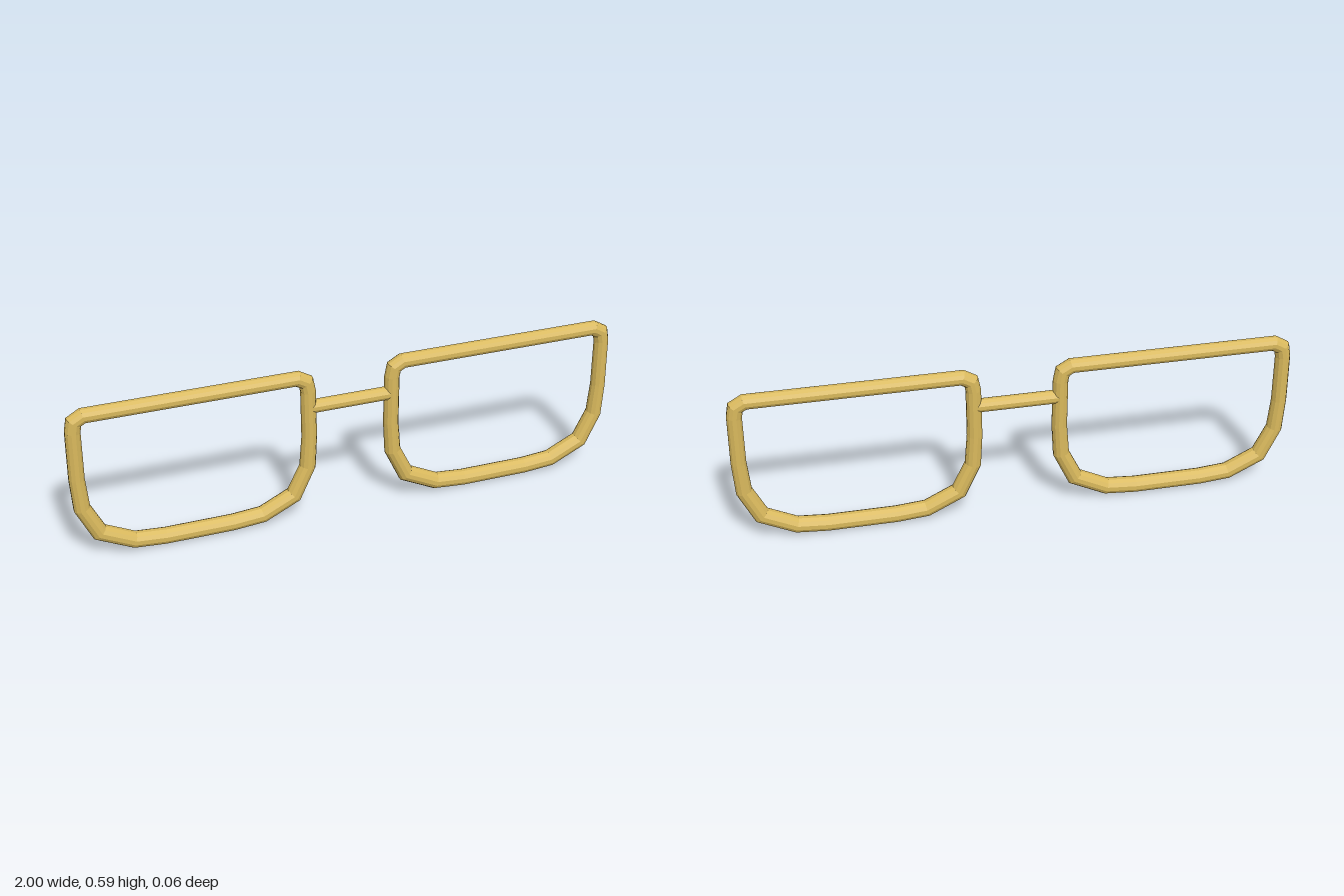
import * as THREE from 'three';

const SIDES = 12;

// Closed tube swept round a clockwise loop of [x, y, radius], mitred at each corner
function loopTube(points) {
  const pos = [], index = [], n = points.length;
  const v = points.map(p => new THREE.Vector2(p[0], p[1]));
  for (let i = 0; i < n; i++) {
    const before = v[i].clone().sub(v[(i + n - 1) % n]).normalize();
    const after = v[(i + 1) % n].clone().sub(v[i]).normalize();
    const t = before.clone().add(after).normalize();
    const r = points[i][2], mitre = r / t.dot(after);
    for (let j = 0; j < SIDES; j++) {
      const a = (j + 0.5) / SIDES * Math.PI * 2;
      const out = Math.cos(a) * mitre;
      pos.push(v[i].x - t.y * out, v[i].y + t.x * out, Math.sin(a) * r);
      const k = (j + 1) % SIDES, next = ((i + 1) % n) * SIDES;
      const A = i * SIDES + j, B = i * SIDES + k, C = next + j, D = next + k;
      index.push(A, B, C, B, D, C);
    }
  }
  const g = new THREE.BufferGeometry();
  g.setAttribute('position', new THREE.Float32BufferAttribute(pos, 3));
  g.setIndex(index);
  g.computeVertexNormals();
  return g;
}

export function createModel() {
  const group = new THREE.Group();
  const gold = new THREE.MeshStandardMaterial({ color: 0xd8b85c, flatShading: true });
  gold.name = 'gold';

  // Half of a rim, from the top corner down to the bottom: x offset, y, tube radius
  const half = [
    [0.37, 0.561, 0.027], [0.401, 0.543, 0.027], [0.408, 0.507, 0.027],
    [0.41, 0.325, 0.0275], [0.402, 0.207, 0.029], [0.35, 0.098, 0.03],
    [0.232, 0.04, 0.03], [0.122, 0.031, 0.03],
  ];
  const rim = loopTube([...half, ...half.map(([x, y, r]) => [-x, y, r]).reverse()]);
  for (const [name, s] of [['leftRim', 1], ['rightRim', -1]]) {
    const mesh = new THREE.Mesh(rim, gold);
    mesh.name = name;
    mesh.position.x = s * 0.5625;
    group.add(mesh);
  }

  // Straight bar joining the rims
  const bar = new THREE.CylinderGeometry(0.025, 0.025, 0.29, SIDES);
  bar.rotateY(Math.PI / SIDES).rotateZ(Math.PI / 2);
  const bridge = new THREE.Mesh(bar, gold);
  bridge.name = 'bridge';
  bridge.position.y = 0.443;
  group.add(bridge);

  return group;
}
